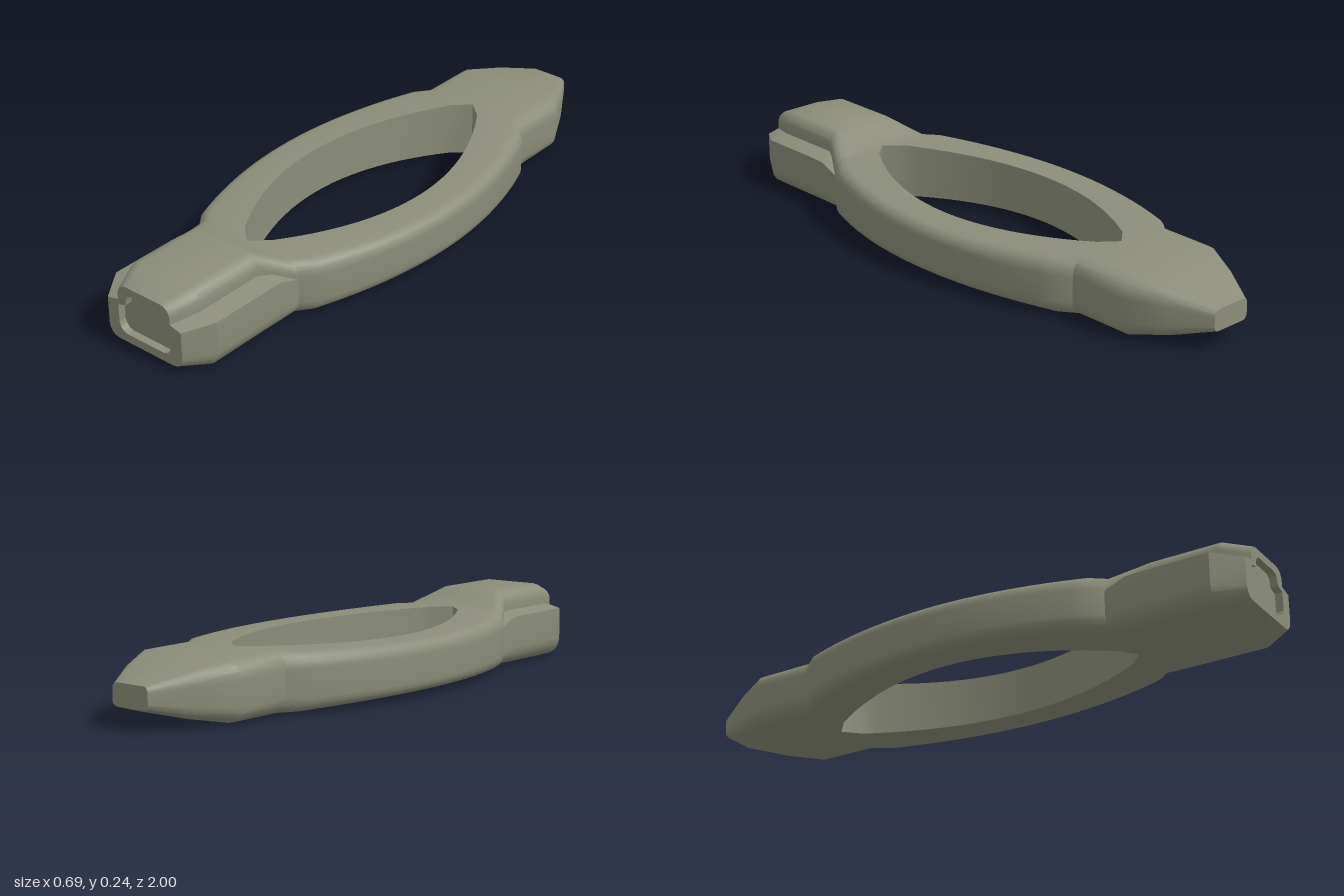
import * as THREE from 'three';
import { toCreasedNormals } from 'three/addons/utils/BufferGeometryUtils.js';

// Stations along z: inner and outer half width, bottom, top, lower corner radius,
// side top, upper half width, ledge height, upper corner radius
function station(z, inner, w, yb, yt, r, ys = yt - r - 0.02, u = w, yl = yt - r - 0.01, q = r) {
  return { z, inner, w, yb, yt, r, ys, u, yl, q };
}

function stations() {
  const list = [
    station(-1, 0, 0.07, 0.065, 0.135, 0.018),
    station(-0.88, 0, 0.143, 0.03, 0.168, 0.035),
    station(-0.76, 0, 0.205, 0.006, 0.191, 0.05),
    station(-0.56, 0, 0.205, 0.005, 0.192, 0.05),
  ];
  // curved arms around the opening
  for (let i = -12; i <= 12; i++) {
    const z = i * 0.0425, s = z * z;
    list.push(station(z, 0.22 - 0.63 * s, 0.345 - 0.39 * s, 0.02 - 0.05 * s, 0.18 + 0.04 * s, 0.035 + 0.04 * s));
  }
  list.push(
    station(0.56, 0, 0.205, 0.005, 0.19, 0.05, 0.135, 0.205, 0.14, 0.045),
    station(0.63, 0, 0.205, 0.002, 0.224, 0.055, 0.163, 0.163, 0.172, 0.045),
    station(0.67, 0, 0.205, 0, 0.243, 0.06, 0.165, 0.14, 0.175, 0.045),
    station(0.91, 0, 0.205, 0, 0.243, 0.06, 0.165, 0.14, 0.175, 0.045),
    station(1, 0, 0.148, 0.022, 0.215, 0.037, 0.15, 0.105, 0.16, 0.035),
  );
  return list;
}

// Half cross-section, from the inner bottom round the outside to the inner top
function section(s) {
  const pts = [[s.inner, s.yb]];
  for (let i = 0; i <= 4; i++) {
    const a = (i / 4) * Math.PI / 2;
    pts.push([s.w - s.r + s.r * Math.sin(a), s.yb + s.r - s.r * Math.cos(a)]);
  }
  pts.push([s.w, s.ys], [s.u, s.yl]);
  for (let i = 0; i <= 4; i++) {
    const a = (i / 4) * Math.PI / 2;
    pts.push([s.u - s.q + s.q * Math.cos(a), s.yt - s.q + s.q * Math.sin(a)]);
  }
  pts.push([s.inner, s.yt]);
  return pts;
}

function bodyGeometry(list) {
  const pos = [];
  const rows = list.map((s) => section(s).map(([x, y]) => [x, y, s.z]));
  for (const side of [1, -1]) {
    const tri = (a, b, c) => {
      for (const p of side > 0 ? [a, b, c] : [a, c, b]) pos.push(p[0] * side, p[1], p[2]);
    };
    for (let i = 0; i < rows.length - 1; i++) {
      const A = rows[i], B = rows[i + 1], n = A.length;
      const open = list[i].inner > 0 || list[i + 1].inner > 0;
      // the last strip is the wall of the opening
      for (let j = 0; j < (open ? n : n - 1); j++) {
        const k = (j + 1) % n;
        tri(A[j], A[k], B[k]);
        tri(A[j], B[k], B[j]);
      }
    }
  }
  const g = new THREE.BufferGeometry();
  g.setAttribute('position', new THREE.Float32BufferAttribute(pos, 3));
  return toCreasedNormals(g, 0.53);
}

// Full closed outline from its right half
function outline(half) {
  const right = half.map(([x, y]) => new THREE.Vector2(x, y));
  const left = half.filter(([x]) => x > 0).reverse().map(([x, y]) => new THREE.Vector2(-x, y));
  return [...right, ...left];
}

export function createModel() {
  const group = new THREE.Group();
  const olive = new THREE.MeshStandardMaterial({ color: 0x8c8e7a });
  olive.name = 'olive grey';
  const add = (name, geometry) => {
    const m = new THREE.Mesh(geometry, olive);
    m.name = name;
    group.add(m);
    return m;
  };

  const list = stations();
  add('body', bodyGeometry(list));

  // flat tip at the back
  const tip = new THREE.ShapeGeometry(new THREE.Shape(outline(section(list[0]))));
  tip.rotateY(Math.PI);
  add('backTip', tip).position.z = -1;

  // front rim round a shallow recess
  const recess = outline([
    [0, 0.05], [0.075, 0.05], [0.09, 0.055], [0.1, 0.066], [0.105, 0.08], [0.105, 0.142],
    [0.076, 0.15], [0.073, 0.168], [0.067, 0.182], [0.053, 0.189], [0, 0.189],
  ]);
  const rim = new THREE.Shape(outline(section(list[list.length - 1])));
  rim.holes.push(new THREE.Path(recess));
  const depth = 0.025;
  add('frontRim', new THREE.ExtrudeGeometry(rim, { depth, bevelEnabled: false })).position.z = 1 - depth;
  add('recessFloor', new THREE.ShapeGeometry(new THREE.Shape(recess))).position.z = 1 - depth;

  return group;
}
